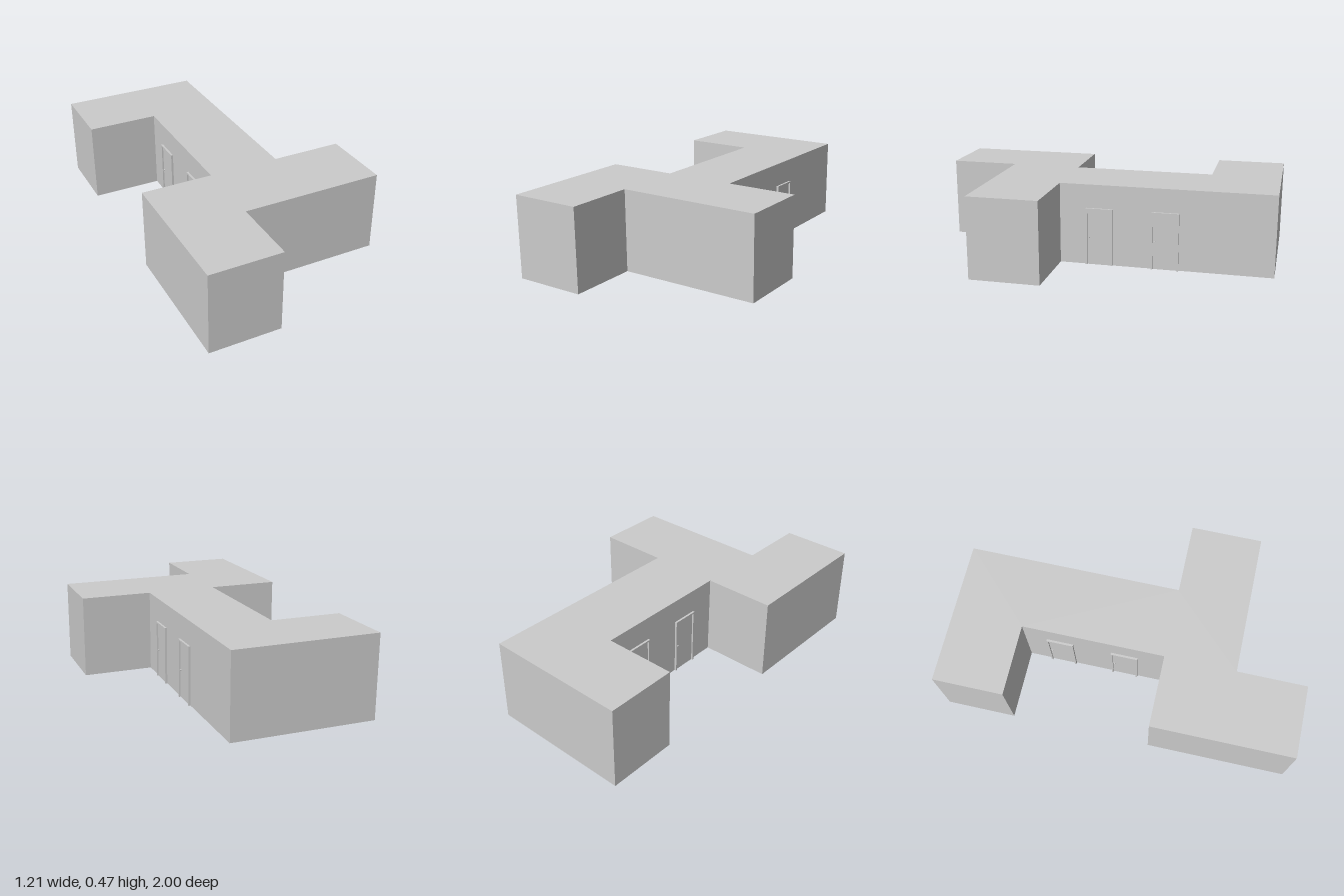
import * as THREE from 'three';

const material = new THREE.MeshStandardMaterial({ color: 0xcccccc, flatShading: true });
const HEIGHT = 0.465;
const DOOR_W = 0.154, DOOR_H = 0.33, TRIM = 0.009, DEPTH = 0.012;

function add(group, name, geometry, x = 0, y = 0, z = 0) {
  const mesh = new THREE.Mesh(geometry, material);
  mesh.name = name;
  mesh.position.set(x, y, z);
  group.add(mesh);
  return mesh;
}

// Door facing +z, with its back on z = 0 and its foot on y = 0
function createDoor() {
  const door = new THREE.Group();
  door.name = 'door';
  const w = DOOR_W / 2, i = w - TRIM;

  // Frame: a thin arch with an open foot
  const arch = new THREE.Shape([
    [-w, 0], [-i, 0], [-i, DOOR_H - TRIM], [i, DOOR_H - TRIM],
    [i, 0], [w, 0], [w, DOOR_H], [-w, DOOR_H],
  ].map(([x, y]) => new THREE.Vector2(x, y)));
  add(door, 'doorFrame', new THREE.ExtrudeGeometry(arch, { depth: DEPTH, bevelEnabled: false }));

  // Panel set back inside the frame
  const panelH = DOOR_H - TRIM;
  add(door, 'doorPanel', new THREE.BoxGeometry(2 * i, panelH, 0.003), 0, panelH / 2, 0.0015);

  // Knob on the left of the panel
  const knob = new THREE.CylinderGeometry(0.005, 0.005, 0.008, 12).rotateX(Math.PI / 2);
  add(door, 'doorKnob', knob, -i + 0.011, 0.16, 0.007);
  return door;
}

export function createModel() {
  const model = new THREE.Group();
  model.name = 'corridorBuilding';

  // Floor plan (x, z) of the corridor with its side wings
  const plan = [
    [-0.603, -1], [0.201, -1], [0.201, 0.205], [0.603, 0.205], [0.603, 0.608], [-0.201, 0.608],
    [-0.201, 1], [-0.603, 1], [-0.603, 0.205], [-0.201, 0.205], [-0.201, -0.603], [-0.603, -0.603],
  ];
  const outline = new THREE.Shape(plan.map(([x, z]) => new THREE.Vector2(x, -z)));
  const walls = new THREE.ExtrudeGeometry(outline, { depth: HEIGHT, bevelEnabled: false });
  add(model, 'building', walls.rotateX(-Math.PI / 2));

  // Two doors on each long side of the corridor
  for (const side of [1, -1]) {
    for (const z of [-0.022, -0.397]) {
      const door = createDoor();
      door.name = side > 0 ? 'leftDoor' : 'rightDoor';
      door.position.set(side * 0.201, 0, z);
      door.rotation.y = side * Math.PI / 2;
      model.add(door);
    }
  }
  return model;
}
